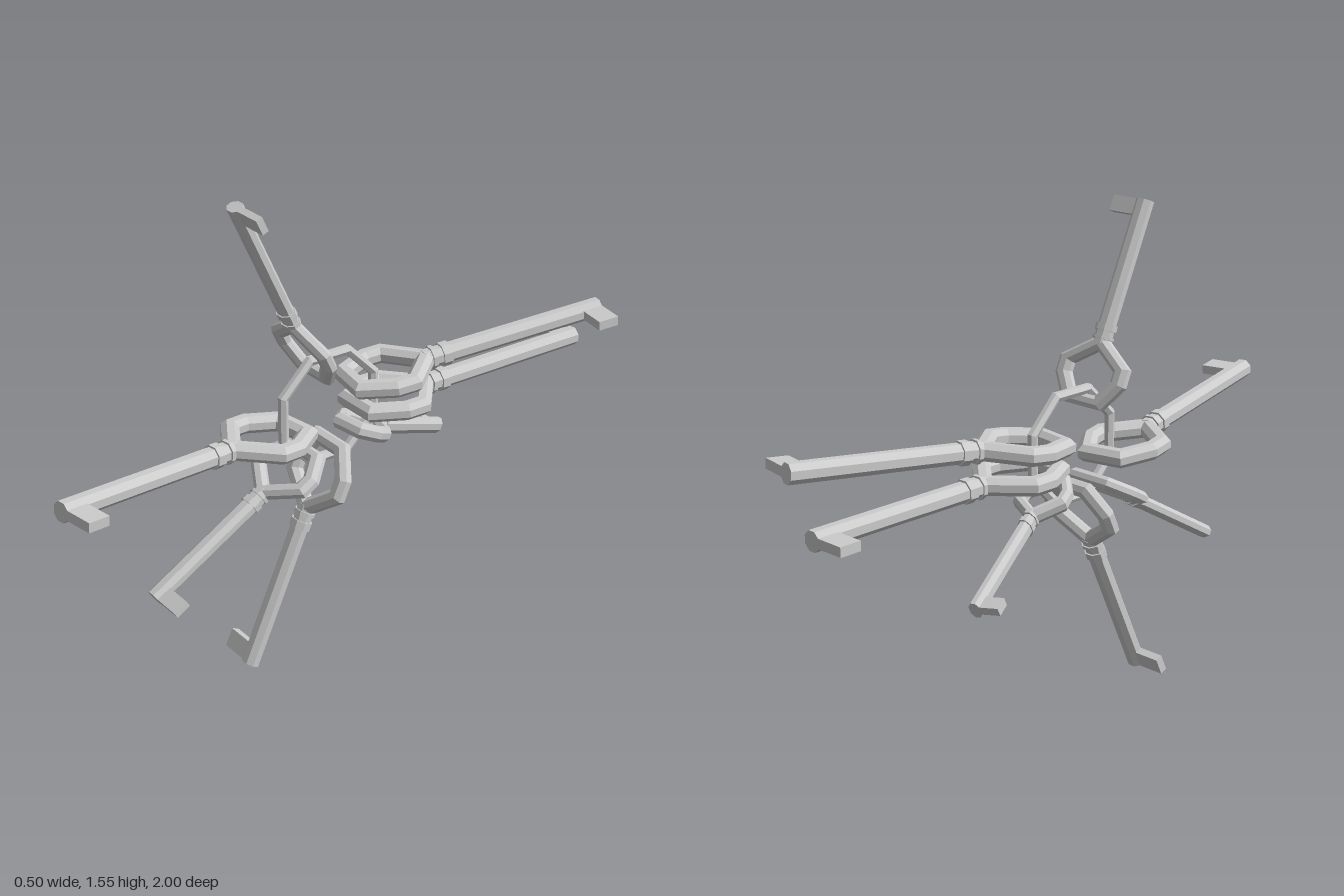
import * as THREE from 'three';

const LENGTH = 0.915; // key length from bow end to tip, along local +z
const PIVOT = 0.17;   // bow centre, about which a key swings sideways

const material = new THREE.MeshStandardMaterial({ color: 0xcccccc, flatShading: true });

function addMesh(parent, name, geometry) {
  const mesh = new THREE.Mesh(geometry, material);
  mesh.name = name;
  parent.add(mesh);
  return mesh;
}

// Closed loop with mitred corners. Points are [u, v] in a plane, counter-clockwise;
// place(u, v, h) maps them to space, h being the height off the plane.
function loopTube(points, radius, sides, place) {
  const n = points.length;
  const pos = [], index = [];
  for (let i = 0; i < n; i++) {
    const p = new THREE.Vector2(...points[i]);
    const a = p.clone().sub(new THREE.Vector2(...points[(i + n - 1) % n])).normalize();
    const b = new THREE.Vector2(...points[(i + 1) % n]).sub(p).normalize();
    const t = a.clone().add(b).normalize();
    const stretch = 1 / t.dot(a);
    for (let j = 0; j < sides; j++) {
      const angle = ((j + 0.5) / sides) * Math.PI * 2;
      const out = Math.cos(angle) * radius * stretch;
      pos.push(...place(p.x + t.y * out, p.y - t.x * out, Math.sin(angle) * radius));
      const k = (j + 1) % sides, m = (i + 1) % n;
      const q = [i * sides + j, m * sides + j, m * sides + k, i * sides + k];
      index.push(q[0], q[1], q[2], q[0], q[2], q[3]);
    }
  }
  const g = new THREE.BufferGeometry();
  g.setAttribute('position', new THREE.Float32BufferAttribute(pos, 3));
  g.setIndex(index);
  g.computeVertexNormals();
  return g;
}

// Eight-sided rod along z
function rod(radius, z0, z1) {
  return new THREE.CylinderGeometry(radius, radius, z1 - z0, 8)
    .rotateY(Math.PI / 8)
    .rotateX(Math.PI / 2)
    .translate(0, 0, (z0 + z1) / 2);
}

// One key, bow end at z = 0; side is the direction of the bit
function makeKey(side) {
  const key = new THREE.Group();
  const bow = [[0, 0.285], [-0.113, 0.185], [-0.113, 0.125], [-0.062, 0.03],
    [0.062, 0.03], [0.113, 0.125], [0.113, 0.185]];
  addMesh(key, 'bow', loopTube(bow, 0.03, 8, (u, v, h) => [u, -h, v]));
  addMesh(key, 'shaft', rod(0.032, 0.275, LENGTH));
  addMesh(key, 'innerCollar', rod(0.038, 0.298, 0.312));
  addMesh(key, 'outerCollar', rod(0.038, 0.335, 0.365));
  const bit = addMesh(key, 'bit', new THREE.BoxGeometry(0.12, 0.03, 0.07));
  bit.position.set(side * 0.06, 0, LENGTH - 0.035);
  return key;
}

// start and tip are [z, y] of the bow end and the far end
const KEYS = [
  { name: 'upperKey', start: [0.05, 0.945], tip: [0.327, 1.54], side: 1 },
  { name: 'frontKey', start: [0.092, 0.775], tip: [0.995, 0.853], side: 1, yaw: 10 },
  { name: 'lowerFrontKey', start: [0.075, 0.712], tip: [0.645, 0.38], side: 1 },
  { name: 'bottomKey', start: [-0.01, 0.725], tip: [0.312, 0.013], side: -1 },
  { name: 'lowerBackKey', start: [-0.06, 0.743], tip: [-0.572, 0.515], side: -1, yaw: -17.8, x: -0.03, small: true },
  { name: 'backKey', start: [-0.083, 0.795], tip: [-1.0, 0.795], side: -1 },
  { name: 'upperBackKey', start: [-0.072, 0.868], tip: [-0.976, 0.95], side: 1, yaw: 10 },
];

export function createModel() {
  const model = new THREE.Group();
  model.name = 'keyRing';

  // Octagonal ring standing in the yz plane
  const octagon = Array.from({ length: 8 }, (_, i) => {
    const a = ((i + 0.5) / 8) * Math.PI * 2;
    return [Math.cos(a) * 0.182, Math.sin(a) * 0.182];
  });
  addMesh(model, 'ring', loopTube(octagon, 0.016, 6, (u, v, h) => [h, u + 0.83, v + 0.005]));

  // Keys fanned out around the ring
  for (const { name, start, tip, side, yaw = 0, x = 0, small = false } of KEYS) {
    const dz = tip[0] - start[0], dy = tip[1] - start[1];
    const turn = THREE.MathUtils.degToRad(yaw);
    const scale = Math.hypot(dz, dy) / (LENGTH * Math.cos(turn));

    const key = makeKey(side);
    key.scale.set(small ? scale : 1, small ? 0.9 : scale, scale);
    key.position.z = -PIVOT * scale;

    const swing = new THREE.Group();
    swing.rotation.y = turn;
    swing.position.z = PIVOT * scale * Math.cos(turn);
    swing.add(key);
    // Keep the swing centred on the bow
    key.position.applyAxisAngle(new THREE.Vector3(0, 1, 0), 0);

    const pitch = new THREE.Group();
    pitch.name = name;
    pitch.rotation.x = -Math.atan2(dy, dz);
    pitch.position.set(x, start[1], start[0]);
    pitch.add(swing);
    model.add(pitch);
  }
  return model;
}
